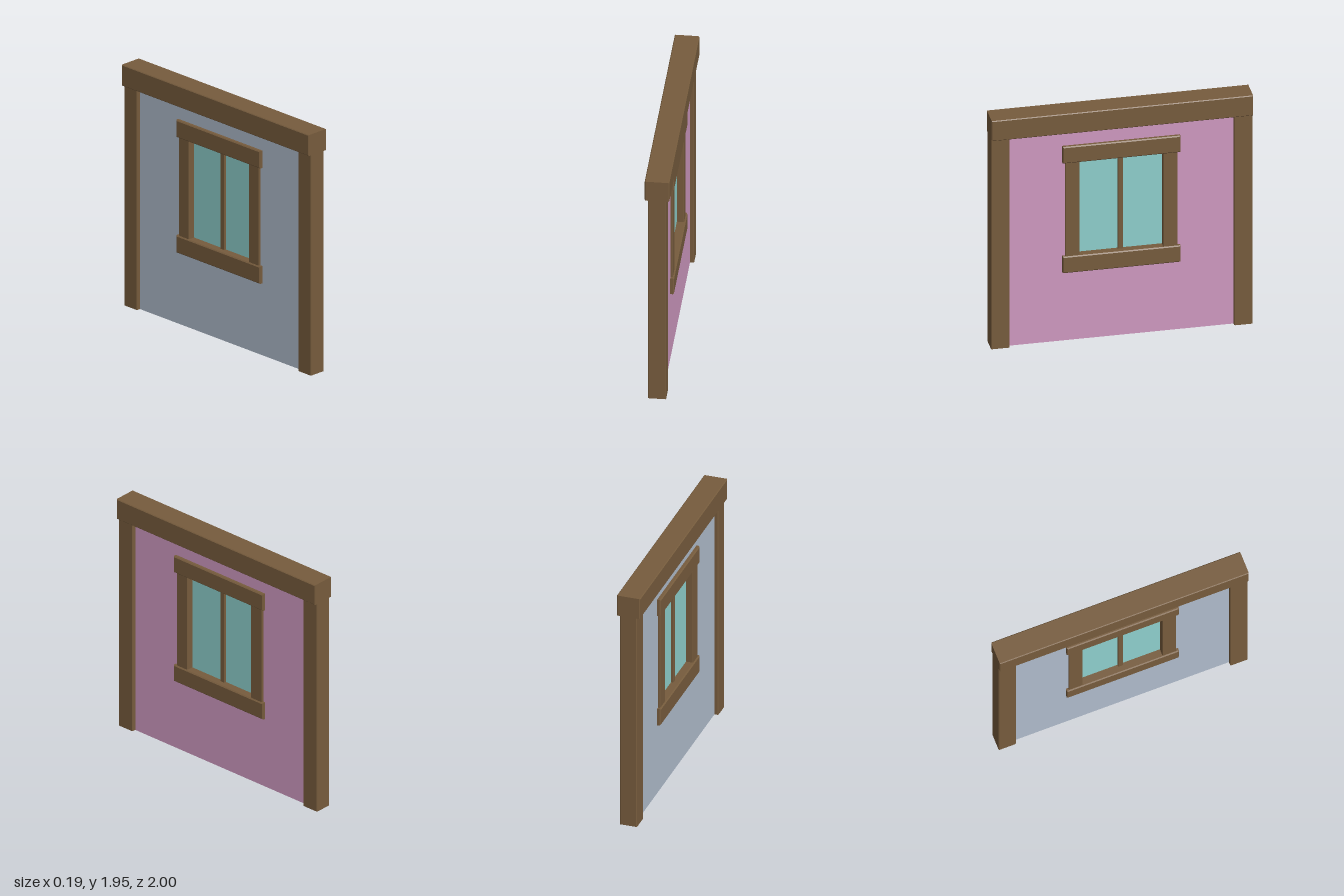
import * as THREE from 'three';

const mat = (color) => new THREE.MeshStandardMaterial({ color, flatShading: true, side: THREE.DoubleSide });

// Rectangle centred on z = 0, drawn in the wall's own plane
function rect(Type, w, y0, y1) {
  const s = new Type();
  s.moveTo(-w / 2, y0);
  s.lineTo(w / 2, y0);
  s.lineTo(w / 2, y1);
  s.lineTo(-w / 2, y1);
  s.closePath();
  return s;
}

// Timber with chamfered faces: length along z, thickness along x
function timber(length, y0, y1, thick, bevel) {
  const g = new THREE.ExtrudeGeometry(rect(THREE.Shape, length - 2 * bevel, y0 + bevel, y1 - bevel), {
    depth: thick - 2 * bevel, bevelEnabled: true, bevelSize: bevel, bevelThickness: bevel, bevelSegments: 1,
  });
  g.translate(0, 0, bevel - thick / 2);
  return g.rotateY(Math.PI / 2);
}

// Upright sheet following a path of [x, z] points
function sheet(path, y0, y1) {
  const pos = [];
  for (let i = 0; i < path.length - 1; i++) {
    const [ax, az] = path[i], [bx, bz] = path[i + 1];
    pos.push(ax, y0, az, bx, y0, bz, bx, y1, bz, ax, y0, az, bx, y1, bz, ax, y1, az);
  }
  const g = new THREE.BufferGeometry();
  g.setAttribute('position', new THREE.Float32BufferAttribute(pos, 3));
  g.computeVertexNormals();
  return g;
}

export function createModel() {
  const model = new THREE.Group();
  model.name = 'windowWall';
  const wood = mat(0x775c3d), pink = mat(0xd09ac2), grey = mat(0xb0bccc), glass = mat(0x8fd0cd);

  const add = (name, geometry, material, parent = model) => {
    const m = new THREE.Mesh(geometry, material);
    m.name = name;
    parent.add(m);
    return m;
  };

  // Two wall skins with a window opening, open underneath
  for (const [name, side, material] of [['pinkWall', 1, pink], ['greyWall', -1, grey]]) {
    const shape = rect(THREE.Shape, 1.8, 0, 1.8);
    shape.holes.push(rect(THREE.Path, 0.74, 0.67, 1.56));
    const g = new THREE.ShapeGeometry(shape);
    g.translate(0, 0, 0.038).rotateY(side * Math.PI / 2);
    add(name, g, material);
  }

  // Hollow corner posts wrapping the wall ends
  const b = 0.006, hx = 0.069, out = 1, inn = 0.86;
  const half = [[0.038, inn], [hx - b, inn], [hx, inn + b], [hx, out - b], [hx - b, out]];
  const outline = [...half, ...half.map(([x, z]) => [-x, z]).reverse()];
  for (const side of [1, -1]) {
    // Reversed with the mirror so the outer faces keep their direction
    const path = outline.map(([x, z]) => [x, z * side]);
    if (side > 0) path.reverse();
    add(side > 0 ? 'frontPost' : 'backPost', sheet(path, 0, 1.79), wood);
  }

  // Top beam
  add('topBeam', timber(2, 1.775, 1.945, 0.186, 0.006), wood);

  // Window: casing, centre bar and glass
  const win = new THREE.Group();
  win.name = 'window';
  model.add(win);
  add('windowHeader', timber(0.9, 1.51, 1.65, 0.132, 0.008), wood, win);
  add('windowSill', timber(0.9, 0.58, 0.72, 0.132, 0.008), wood, win);
  for (const side of [1, -1]) {
    const jamb = add(side > 0 ? 'frontJamb' : 'backJamb', timber(0.11, 0.7, 1.53, 0.11, 0.004), wood, win);
    jamb.position.z = side * 0.375;
  }
  add('centreBar', timber(0.04, 0.7, 1.53, 0.036, 0.003), wood, win);
  const pane = new THREE.PlaneGeometry(0.66, 0.83).rotateY(Math.PI / 2).translate(0, 1.115, 0);
  add('glassPane', pane, glass, win);

  return model;
}
